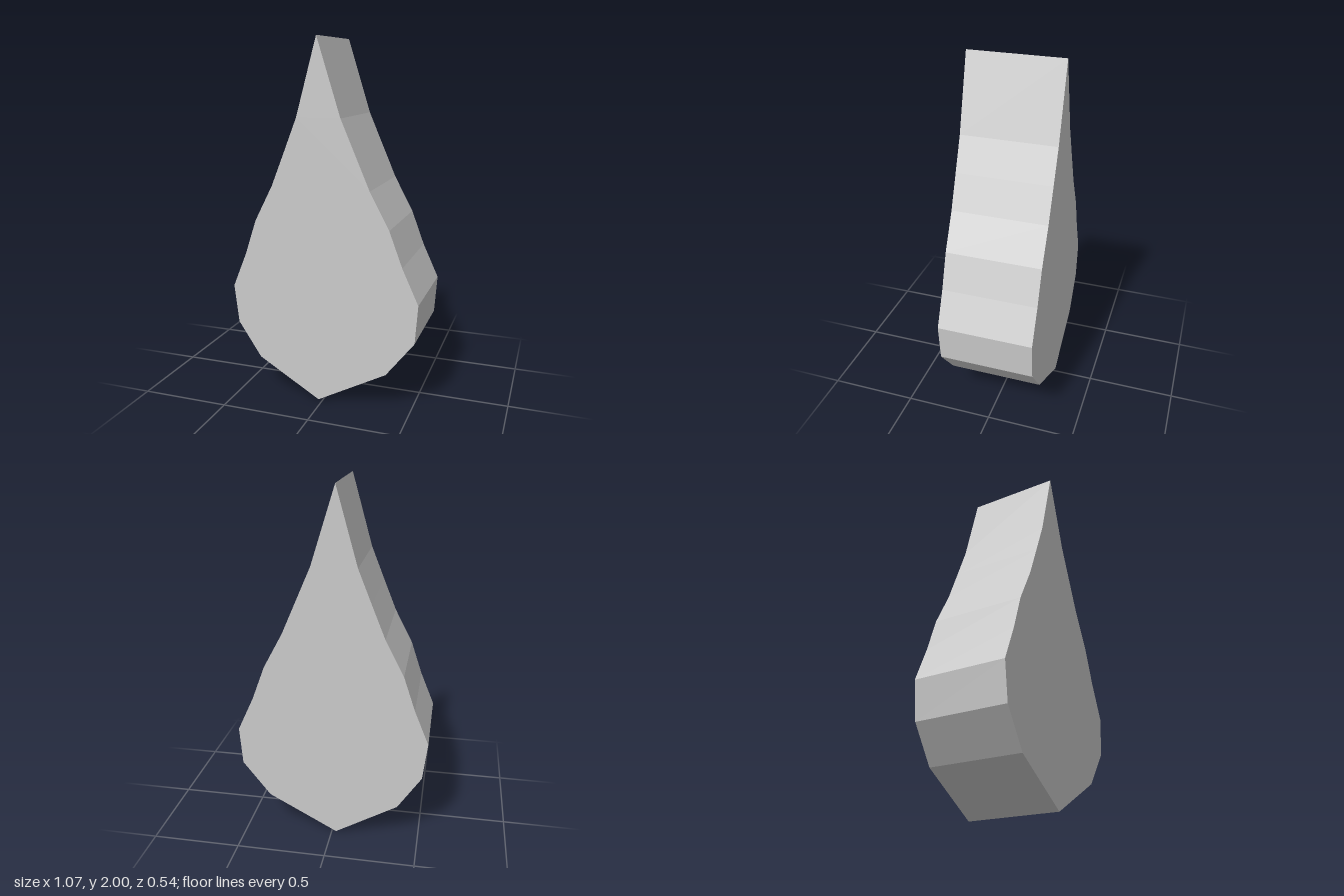
import * as THREE from 'three';

const DEPTH = 0.535;

// Teardrop outline, counter-clockwise from the bottom tip
const OUTLINE = [
  [-0.025, 0], [0.365, 0.21], [0.52, 0.41], [0.535, 0.625], [0.445, 0.82],
  [0.372, 1.015], [0.265, 1.215], [0.185, 1.4], [0.105, 1.585], [-0.025, 2],
  [-0.14, 1.585], [-0.213, 1.4], [-0.287, 1.215], [-0.39, 1.015],
  [-0.455, 0.82], [-0.535, 0.625], [-0.51, 0.41], [-0.378, 0.21],
];

export function createModel() {
  const group = new THREE.Group();
  group.name = 'teardrop';

  // Faceted slab with flat front and back
  const shape = new THREE.Shape(OUTLINE.map(([x, y]) => new THREE.Vector2(x, y)));
  const geometry = new THREE.ExtrudeGeometry(shape, { depth: DEPTH, bevelEnabled: false });
  geometry.translate(0, 0, -DEPTH / 2);

  const body = new THREE.Mesh(
    geometry,
    new THREE.MeshStandardMaterial({ color: 0xcccccc, flatShading: true })
  );
  body.name = 'teardropBody';
  group.add(body);
  return group;
}
